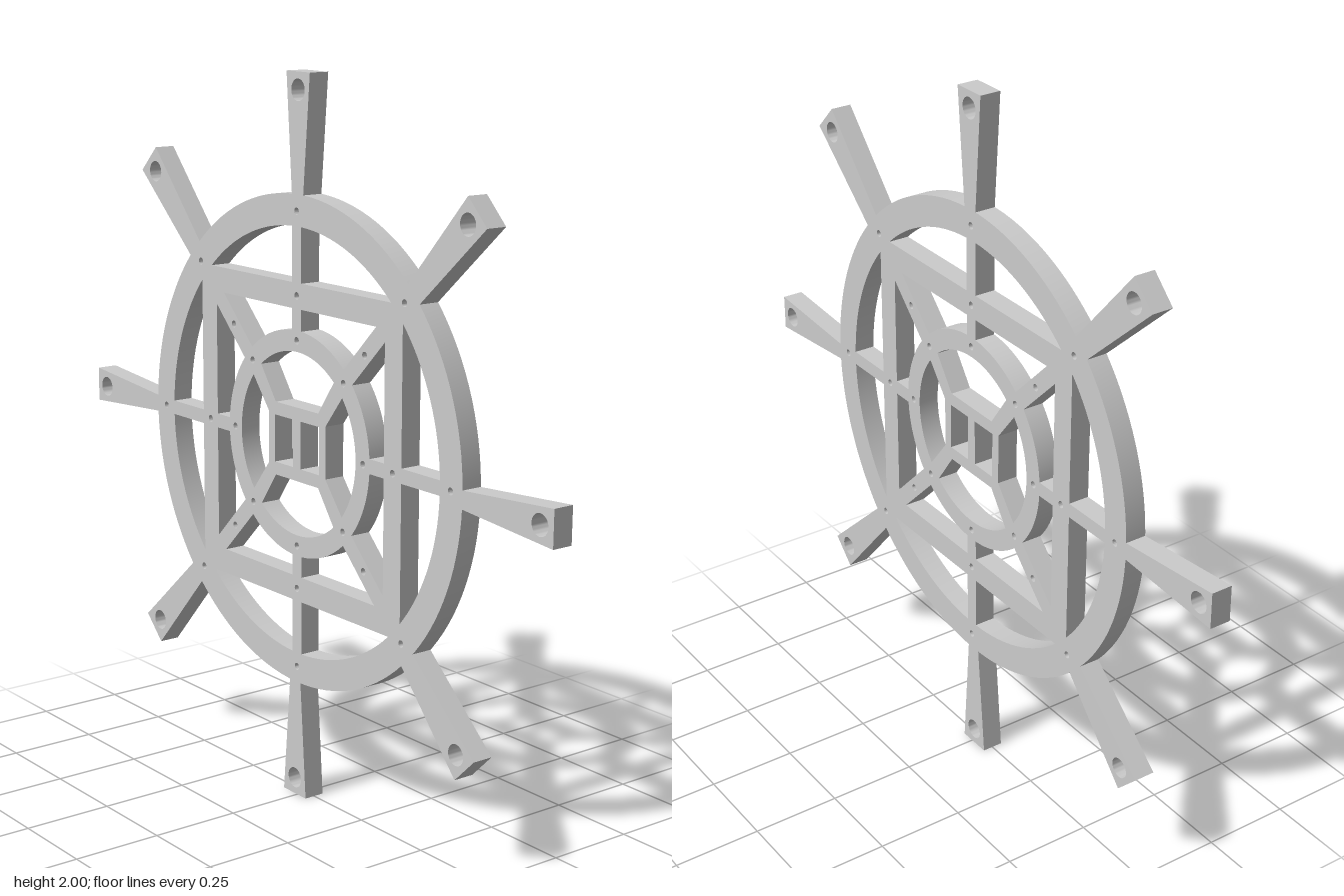
import * as THREE from 'three';
import { toCreasedNormals } from 'three/addons/utils/BufferGeometryUtils.js';

const DEPTH = 0.06;
const RIM_OUT = 0.675, RIM_IN = 0.59;      // outer rim
const RING_OUT = 0.312, RING_IN = 0.254;   // inner ring
const SQ_OUT = 0.44, SQ_IN = 0.37;         // square frame half sizes
const SPOKE = 0.02, STRUT = 0.025;         // half widths
const Q = Math.PI / 4;

const material = new THREE.MeshStandardMaterial({ color: 0xcccccc });
const P = (x, y) => new THREE.Vector2(x, y);

function arc(r, a0, a1, n) {
  return Array.from({ length: n + 1 }, (_, i) => {
    const a = a0 + (a1 - a0) * i / n;
    return P(r * Math.cos(a), r * Math.sin(a));
  });
}

function circle(r, cx, cy, n) {
  return arc(r, 0, 2 * Math.PI, n).slice(0, n).map(p => P(p.x + cx, p.y + cy));
}

const turn = (pts, a) => pts.map(p => p.clone().rotateAround(P(0, 0), a));
const mirror = pts => pts.map(p => P(-p.x, p.y));

// Flat plate cut from an outline with holes, centred on z = 0
function plate(name, outline, holes) {
  const shape = new THREE.Shape(outline);
  shape.holes = holes.map(h => new THREE.Path(h));
  const geo = new THREE.ExtrudeGeometry(shape, { depth: DEPTH, bevelEnabled: false });
  geo.translate(0, 0, -DEPTH / 2);
  const mesh = new THREE.Mesh(toCreasedNormals(geo, 0.5), material);
  mesh.name = name;
  return mesh;
}

function wheelHoles() {
  const holes = [];

  // Gap between rim and square, right of the upper spoke
  const chord = Math.asin(SQ_OUT / RIM_IN);
  const rimGap = [P(SPOKE, SQ_OUT), ...arc(RIM_IN, chord, Math.acos(SPOKE / RIM_IN), 16)];

  // Gap between square, diagonal strut and inner ring
  const squareGap = [
    P(SPOKE, SQ_IN), P(SQ_IN - STRUT * Math.SQRT2, SQ_IN),
    ...arc(RING_OUT, Q + Math.asin(STRUT / RING_OUT), Math.acos(SPOKE / RING_OUT), 12)
  ];

  for (let i = 0; i < 4; i++) {
    const a = i * Math.PI / 2;
    for (const gap of [rimGap, squareGap]) holes.push(turn(gap, a), turn(mirror(gap), a));

    // Gap between inner ring and hub block, which is wider than tall
    const [half, out] = i % 2 ? [0.072, 0.126] : [0.094, 0.102];
    const d = Q + Math.asin(STRUT / RING_IN);
    holes.push(turn([P(-half, out), P(half, out), ...arc(RING_IN, d, Math.PI - d, 24)], a));
  }

  // Two hub windows
  for (const s of [-1, 1]) {
    holes.push([P(s * 0.016, -0.066), P(s * 0.098, -0.066), P(s * 0.098, 0.066), P(s * 0.016, 0.066)]);
  }

  // Screw holes on ring, square or strut, and rim
  for (let i = 0; i < 8; i++) {
    for (const r of [0.284, i % 2 ? 0.408 : 0.405, 0.63]) {
      holes.push(circle(0.01, r * Math.cos(i * Q), r * Math.sin(i * Q), 16));
    }
  }
  return holes;
}

export function createModel() {
  const model = new THREE.Group();
  model.name = 'spokedWheelFrame';

  // Rim, square frame, inner ring, spokes and hub as one cut plate
  const wheel = plate('wheelPlate', circle(RIM_OUT, 0, 0, 128), wheelHoles());
  wheel.position.y = 1.007;
  model.add(wheel);

  // Eight flared arms, each with a mounting hole near the tip
  const arms = new THREE.Group();
  arms.name = 'arms';
  arms.position.set(-0.002, 1, 0);
  arms.rotation.z = -0.009;
  for (let i = 0; i < 8; i++) {
    const base = i % 2 ? 0.031 : 0.023;
    const arm = plate('arm', [P(-base, 0.66), P(base, 0.66), P(0.05, 1), P(-0.05, 1)],
      [circle(0.029, 0, 0.953, 32)]);
    arm.rotation.z = i * Q;
    if (i % 2) arm.position.y = 0.005;
    arms.add(arm);
  }
  model.add(arms);

  return model;
}
